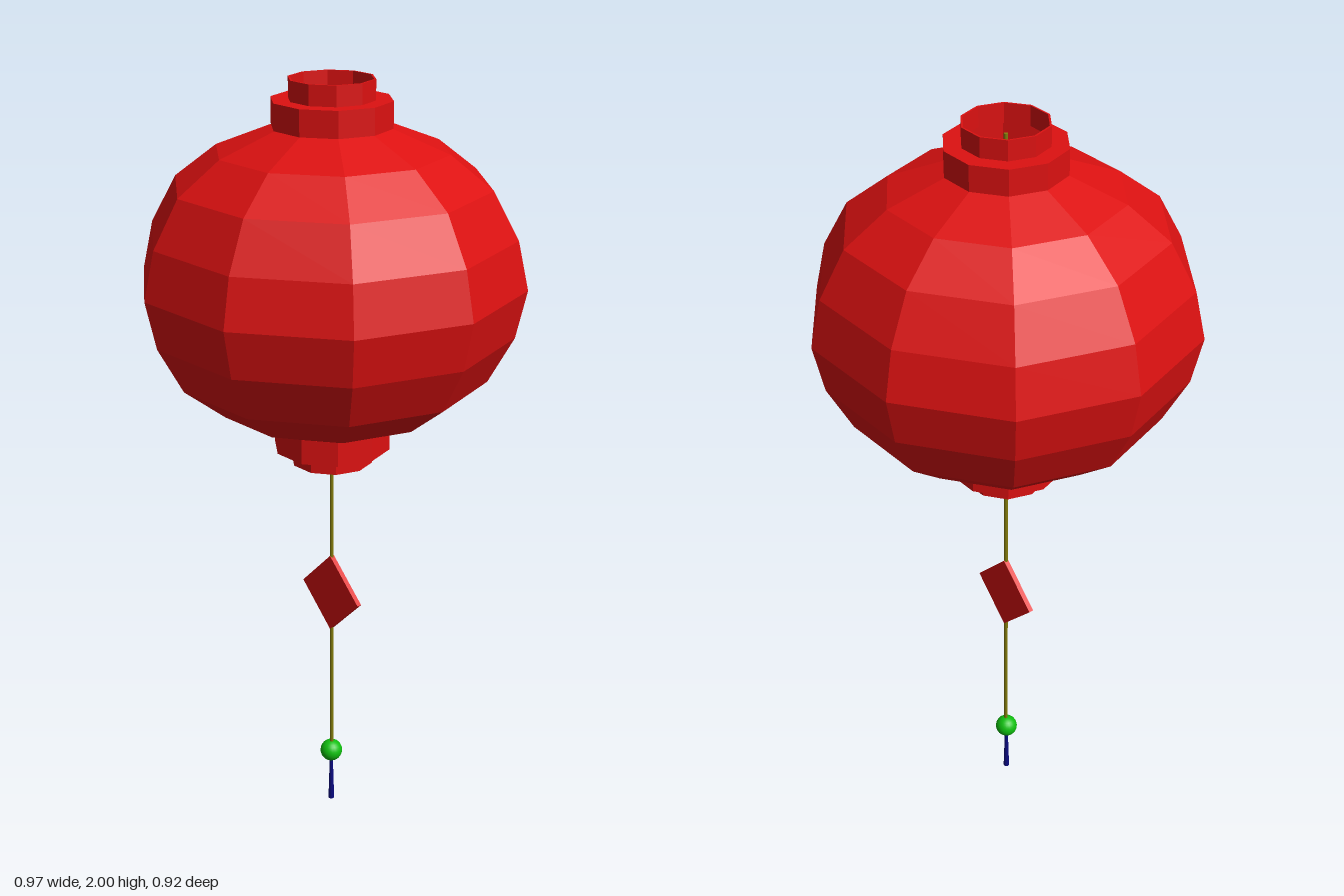
import * as THREE from 'three';

const paint = (color, extra = {}) => new THREE.MeshStandardMaterial({ color, ...extra });

function part(name, geometry, material, y = 0, x = 0) {
  const mesh = new THREE.Mesh(geometry, material);
  mesh.name = name;
  mesh.position.set(x, y, 0);
  return mesh;
}

export function createModel() {
  const lantern = new THREE.Group();
  lantern.name = 'hangingLantern';

  const red = paint(0xdd1111, { flatShading: true, side: THREE.DoubleSide });
  const olive = paint(0x857d0c);
  const green = paint(0x10c010);
  const navy = paint(0x0a0a80);

  // Ten-sided open shells, with corners on the x axis
  const shell = (points) => new THREE.LatheGeometry(
    points.map(([r, y]) => new THREE.Vector2(r, y)), 10, Math.PI / 2);

  // Paper body: half profile mirrored about the widest ring
  const middle = 1.507;
  const half = [[0.147, 0.378], [0.288, 0.322], [0.394, 0.24], [0.458, 0.122]];
  const profile = [
    ...half.map(([r, h]) => [r, middle - h]),
    [0.485, middle],
    ...half.slice().reverse().map(([r, h]) => [r, middle + h]),
  ];
  lantern.add(part('lanternBody', shell(profile), red));

  // Stepped collars, open through the middle
  lantern.add(part('topCollar', shell(
    [[0.147, 1.885], [0.15, 1.885], [0.15, 1.95], [0.107, 1.95], [0.107, 2], [0.102, 2], [0.102, 1.95]]), red));
  lantern.add(part('bottomCollar', shell(
    [[0.102, 1.065], [0.102, 1.025], [0.105, 1.025], [0.105, 1.065], [0.15, 1.065], [0.15, 1.13], [0.147, 1.13]]), red));

  // Cord running from the top collar to the bead
  const cordBottom = 0.155, cordTop = 1.97;
  lantern.add(part('cord',
    new THREE.CylinderGeometry(0.005, 0.005, cordTop - cordBottom, 8), olive, (cordTop + cordBottom) / 2));

  // Thin square charm turned on its corner
  const side = 0.108 * Math.SQRT2;
  const charm = part('diamondCharm', new THREE.BoxGeometry(side, side, 0.013), red, 0.643);
  charm.rotation.z = Math.PI / 4;
  lantern.add(charm);

  // Bead and tassel
  lantern.add(part('bead', new THREE.SphereGeometry(0.03, 20, 14), green, 0.155, -0.002));
  lantern.add(part('tassel', new THREE.CylinderGeometry(0.004, 0.008, 0.14, 8), navy, 0.07, -0.002));

  return lantern;
}
